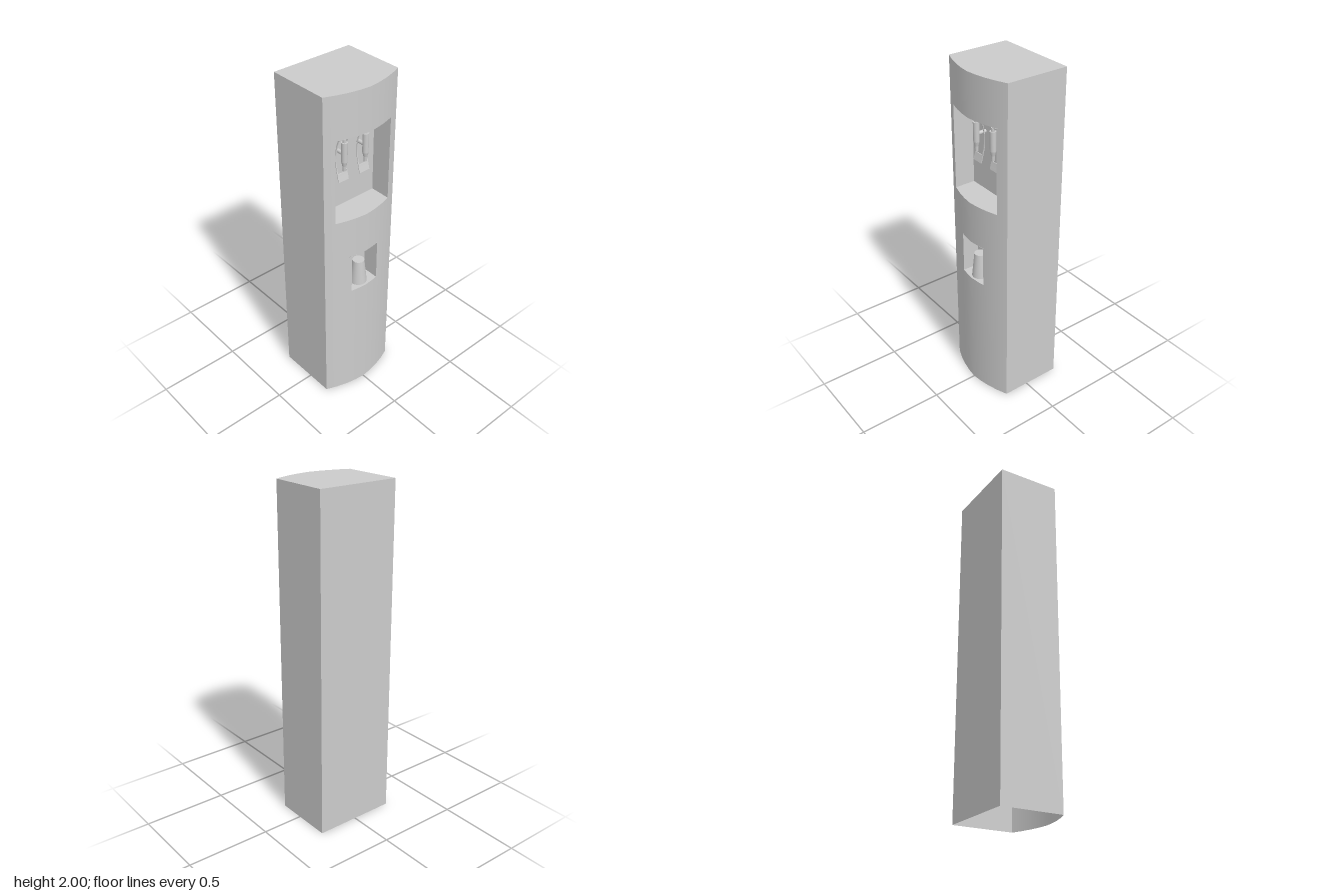
import * as THREE from 'three';
import { mergeGeometries } from 'three/addons/utils/BufferGeometryUtils.js';

const BACK = -0.218, HALF = 0.25, TOP = 2;
const RECESSES = [
  { name: 'tapRecess', y0: 1.25, y1: 1.75, half: 0.19, back: 0.055 },
  { name: 'cupRecess', y0: 0.75, y1: 1.0, half: 0.095, back: 0.105 },
];

// Bowed front of the cabinet: x for a given z
const frontX = (z) => 0.218 - 0.06 * Math.abs(z) - 0.77 * z * z;

// z stations running from one side (+) to the other (-)
function stations(from, to) {
  const zs = [from];
  for (let i = 4; i >= -4; i--) {
    const z = i * HALF / 4;
    if (z < from - 1e-4 && z > to + 1e-4) zs.push(z);
  }
  return [...zs, to];
}

const frontRow = (zs, y) => zs.map((z) => [frontX(z), y, z]);
const flatRow = (zs, y, x) => zs.map((z) => [x, y, z]);

// Strip of faces between two rows of points
function sheet(a, b, bowed = false) {
  const pts = [...a, ...b], n = a.length, index = [];
  for (let i = 0; i < n - 1; i++) index.push(i, i + 1, n + i, i + 1, n + i + 1, n + i);
  const g = new THREE.BufferGeometry();
  g.setAttribute('position', new THREE.Float32BufferAttribute(pts.flat(), 3));
  g.setIndex(index);
  g.computeVertexNormals();
  if (bowed) {
    pts.forEach(([, , z], i) => {
      const v = new THREE.Vector3(1, 0, 1.6 * z).normalize();
      g.attributes.normal.setXYZ(i, v.x, v.y, v.z);
    });
  }
  return g;
}

// Upright flat wall between two plan points
const wall = (x0, z0, x1, z1, y0, y1) =>
  sheet([[x0, y0, z0], [x1, y0, z1]], [[x0, y1, z0], [x1, y1, z1]]);

export function createModel() {
  const model = new THREE.Group();
  const grey = new THREE.MeshStandardMaterial({ color: 0xcccccc, side: THREE.DoubleSide });
  const add = (name, geometry, parent = model) => {
    const mesh = new THREE.Mesh(geometry, grey);
    mesh.name = name;
    parent.add(mesh);
    return mesh;
  };

  // Cabinet shell, open underneath
  const edge = frontX(HALF), full = stations(HALF, -HALF);
  add('cabinetShell', mergeGeometries([
    wall(BACK, HALF, edge, HALF, 0, TOP),
    wall(edge, -HALF, BACK, -HALF, 0, TOP),
    wall(BACK, -HALF, BACK, HALF, 0, TOP),
    sheet(frontRow(full, TOP), flatRow(full, TOP, BACK)),
  ]));

  // Bowed front in bands, left open at the recesses
  const front = [], levels = [0, 0.75, 1, 1.25, 1.75, TOP];
  for (let i = 0; i < levels.length - 1; i++) {
    const [y0, y1] = [levels[i], levels[i + 1]];
    const hole = RECESSES.find((r) => r.y0 === y0);
    const spans = hole ? [[HALF, hole.half], [-hole.half, -HALF]] : [[HALF, -HALF]];
    for (const [from, to] of spans) {
      const zs = stations(from, to);
      front.push(sheet(frontRow(zs, y0), frontRow(zs, y1), true));
    }
  }
  add('bowedFront', mergeGeometries(front));

  // Recess linings: floor, ceiling, two sides and back
  for (const { name, y0, y1, half, back } of RECESSES) {
    const zs = stations(half, -half), lip = frontX(half);
    add(name, mergeGeometries([
      sheet(frontRow(zs, y0), flatRow(zs, y0, back)),
      sheet(flatRow(zs, y1, back), frontRow(zs, y1)),
      wall(lip, half, back, half, y0, y1),
      wall(back, -half, lip, -half, y0, y1),
      wall(back, half, back, -half, y0, y1),
    ]));
  }

  // Upturned cup in the lower recess
  add('cup', new THREE.CylinderGeometry(0.034, 0.05, 0.15, 32)).position.set(0.155, 0.825, 0);

  // Lever side profile, thickened and extruded across z
  const curve = new THREE.CatmullRomCurve3([
    [0.112, 1.7], [0.095, 1.65], [0.087, 1.59], [0.09, 1.53], [0.1, 1.485], [0.112, 1.44],
  ].map(([x, y]) => new THREE.Vector3(x, y, 0)));
  const path = curve.getPoints(20);
  const lever = (from, to, width, z) => {
    const run = path.slice(from, to + 1), t = 0.004;
    const outline = [...run.map((p) => new THREE.Vector2(p.x, p.y)),
      ...run.reverse().map((p) => new THREE.Vector2(p.x - t, p.y))];
    return new THREE.ExtrudeGeometry(new THREE.Shape(outline), { depth: width, bevelEnabled: false })
      .translate(0, 0, z - width / 2);
  };

  // Two taps, each with nozzle, feed pipe and push lever
  for (const [name, z] of [['leftTap', 0.074], ['rightTap', -0.074]]) {
    const tap = new THREE.Group();
    tap.name = name;
    tap.position.z = z;
    model.add(tap);
    const profile = [[0, 1.505], [0.009, 1.505], [0.011, 1.535], [0.017, 1.56], [0.018, 1.675], [0, 1.675]];
    // Separate lathe bands keep the edges sharp
    const bands = profile.slice(1).map((p, i) =>
      new THREE.LatheGeometry([profile[i], p].map(([r, y]) => new THREE.Vector2(r, y)), 20));
    add('nozzle', mergeGeometries(bands), tap).position.x = 0.115;
    add('cap', new THREE.CylinderGeometry(0.01, 0.01, 0.02, 16), tap).position.set(0.115, 1.685, 0);
    const pipe = add('feedPipe', new THREE.CylinderGeometry(0.011, 0.011, 0.06, 16), tap);
    pipe.rotation.z = Math.PI / 2;
    pipe.position.set(0.085, 1.605, 0);
    add('hingePin', new THREE.BoxGeometry(0.01, 0.008, 0.07), tap).position.set(0.112, 1.694, 0);
    add('pushLever', mergeGeometries([
      lever(0, 16, 0.006, 0.032), lever(0, 16, 0.006, -0.032), lever(16, 20, 0.07, 0),
    ]), tap);
  }

  return model;
}
